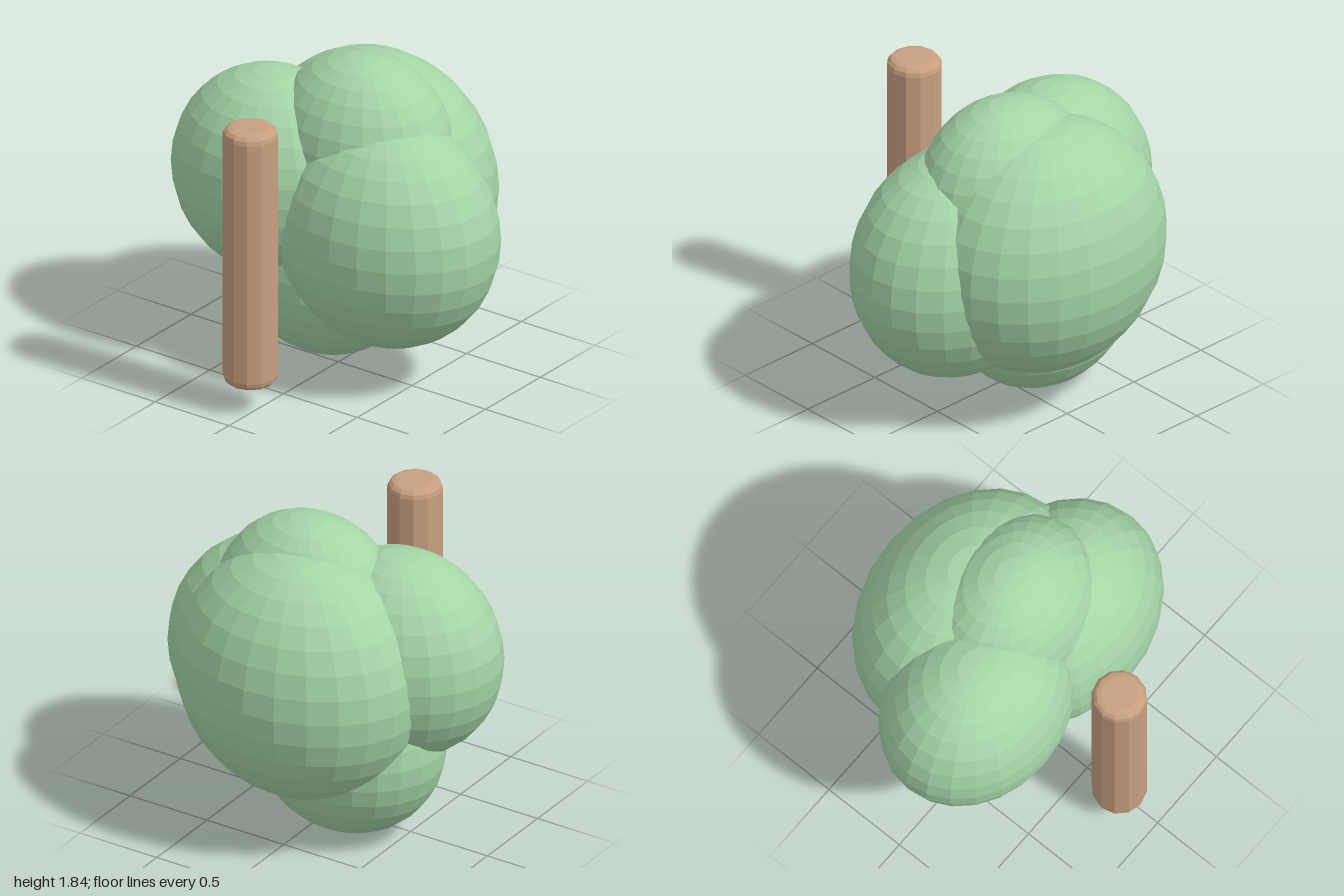
import * as THREE from 'three';

export function createModel() {
  const group = new THREE.Group();
  const leafGreen = new THREE.MeshStandardMaterial({ color: 0xa5d6a7, flatShading: true });
  leafGreen.name = 'leaf green';
  const barkBrown = new THREE.MeshStandardMaterial({ color: 0xc8a080, flatShading: true });
  barkBrown.name = 'bark brown';

  // Foliage: overlapping balls, flattened front to back
  const ball = new THREE.SphereGeometry(1, 24, 16);
  const addClump = (name, x, y, z, radius, depth) => {
    const mesh = new THREE.Mesh(ball, leafGreen);
    mesh.name = name;
    mesh.position.set(x, y, z);
    mesh.scale.set(radius, radius, depth);
    group.add(mesh);
  };
  addClump('rightFoliage', -0.4, 1.08, 0.05, 0.6, 0.49);
  addClump('leftFoliage', 0.33, 0.905, 0, 0.67, 0.53);
  addClump('topFoliage', 0.09, 1.29, -0.11, 0.55, 0.44);
  addClump('backFoliage', 0, 1.01, -0.33, 0.73, 0.58);
  addClump('bottomFoliage', -0.165, 0.58, -0.11, 0.575, 0.46);

  // Trunk: straight post with rounded rims, standing in front of the foliage
  const radius = 0.153, half = 0.77, round = 0.05, steps = 3;
  const profile = [new THREE.Vector2(0, -half)];
  for (const end of [-1, 1]) {
    for (let i = 0; i <= steps; i++) {
      const a = (end < 0 ? i - steps : i) / steps * Math.PI / 2;
      profile.push(new THREE.Vector2(
        radius - round + round * Math.cos(a),
        end * (half - round) + round * Math.sin(a)));
    }
  }
  profile.push(new THREE.Vector2(0, half));
  const trunk = new THREE.Mesh(new THREE.LatheGeometry(profile, 12), barkBrown);
  trunk.name = 'trunk';
  trunk.position.set(-0.035, 0.94, 0.757);
  group.add(trunk);

  return group;
}
